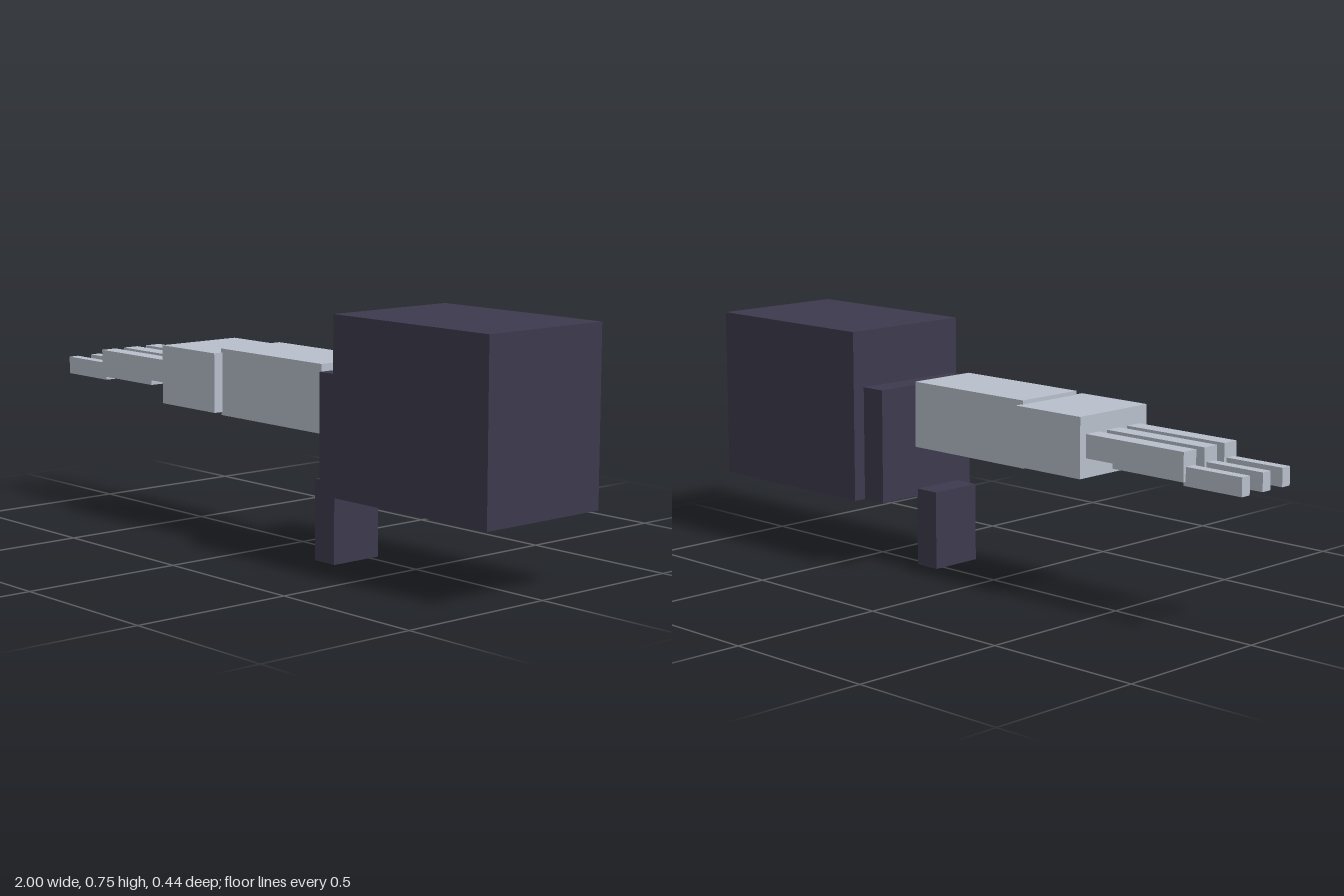
import * as THREE from 'three';

export function createModel() {
  const group = new THREE.Group();
  const dark = new THREE.MeshStandardMaterial({ color: 0x3c3a4d });
  dark.name = 'dark slate';
  const light = new THREE.MeshStandardMaterial({ color: 0xb8bfcb });
  light.name = 'pale grey';

  // box from its min and max on each axis
  function box(name, material, [x0, x1], [y0, y1], [z0, z1]) {
    const mesh = new THREE.Mesh(new THREE.BoxGeometry(x1 - x0, y1 - y0, z1 - z0), material);
    mesh.position.set((x0 + x1) / 2, (y0 + y1) / 2, (z0 + z1) / 2);
    mesh.name = name;
    group.add(mesh);
  }

  // housing with its front plate and the separate grip below
  box('housing', dark, [0.385, 1], [0.221, 0.748], [-0.219, 0.219]);
  box('frontPlate', dark, [0.302, 0.385], [0.221, 0.573], [-0.178, 0.197]);
  box('grip', dark, [0.22, 0.304], [0, 0.244], [-0.031, 0.142]);

  // forearm and palm
  box('forearm', light, [-0.186, 0.274], [0.386, 0.59], [-0.065, 0.166]);
  box('palm', light, [-0.438, -0.181], [0.396, 0.578], [-0.091, 0.197]);

  // three jointed fingers
  for (const z of [-0.039, 0.051, 0.138]) {
    const wide = [z - 0.027, z + 0.027];
    box('fingerBase', light, [-0.54, -0.436], [0.454, 0.525], wide);
    box('fingerMiddle', light, [-0.802, -0.54], [0.439, 0.525], wide);
    box('fingerTip', light, [-1, -0.795], [0.427, 0.482], [z - 0.017, z + 0.017]);
  }
  return group;
}
